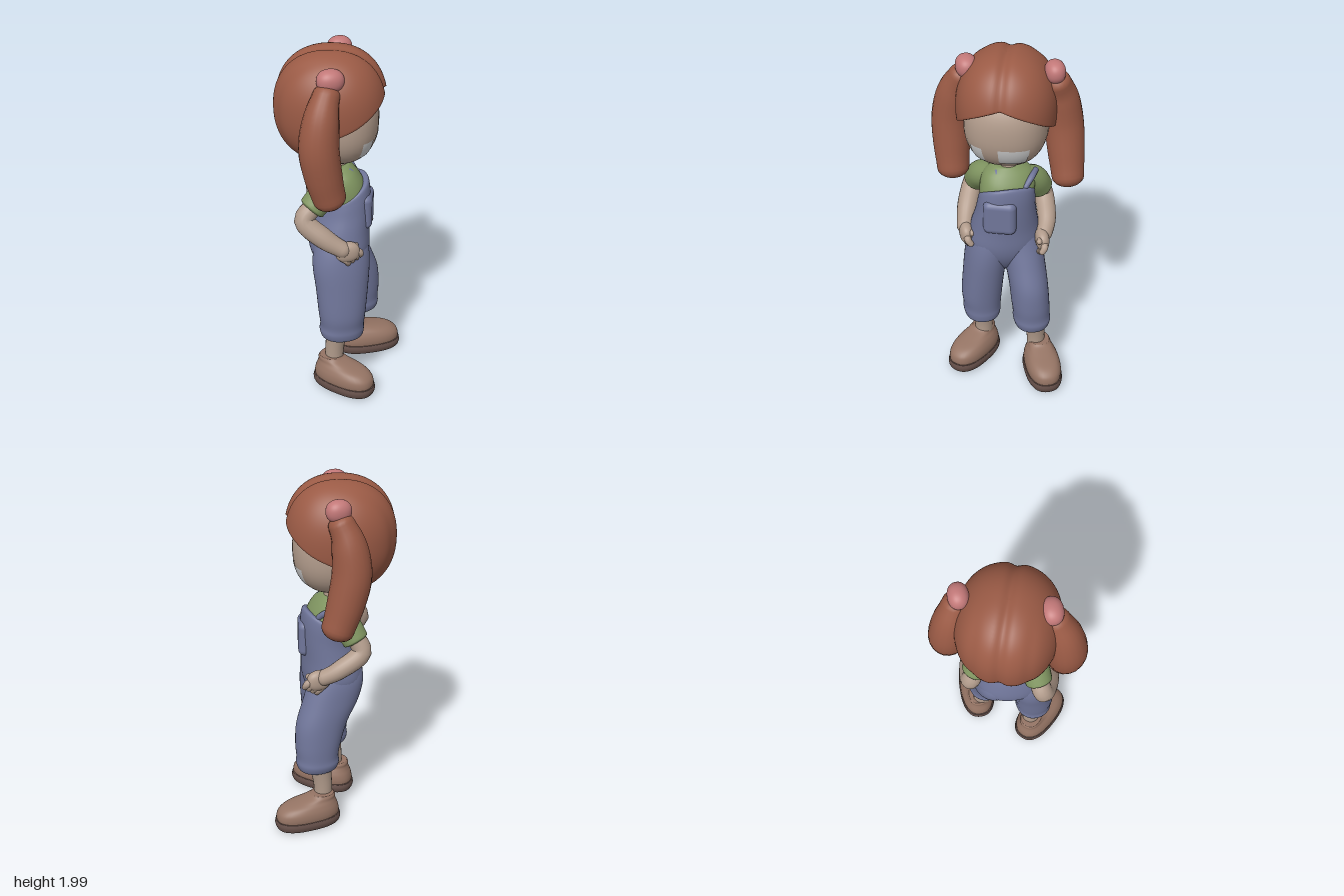
import * as THREE from 'three';
import { mergeVertices } from 'three/addons/utils/BufferGeometryUtils.js';
import { RoundedBoxGeometry } from 'three/addons/geometries/RoundedBoxGeometry.js';

const V = (x, y, z) => new THREE.Vector3(x, y, z);
const mat = (color) => new THREE.MeshStandardMaterial({ color, side: THREE.DoubleSide });
const FACING = 1.24; // yaw of head and chest, turning +z towards +x

// Smooth surface through a stack of closed rings of equal point count
function skin(rings) {
  const n = rings[0].length, pos = [], idx = [];
  rings.forEach((r) => r.forEach((p) => pos.push(p.x, p.y, p.z)));
  for (let i = 0; i < rings.length - 1; i++) {
    for (let j = 0; j < n; j++) {
      const a = i * n + j, b = i * n + (j + 1) % n;
      idx.push(a, a + n, b, b, a + n, b + n);
    }
  }
  const g = new THREE.BufferGeometry();
  g.setAttribute('position', new THREE.Float32BufferAttribute(pos, 3));
  g.setIndex(idx);
  g.computeVertexNormals();
  return g;
}

// Catmull-Rom interpolation of number rows
function smoothRows(rows, steps) {
  const out = [];
  for (let i = 0; i < rows.length - 1; i++) {
    const [p, a, b, q] = [i - 1, i, i + 1, i + 2].map((k) => rows[Math.min(Math.max(k, 0), rows.length - 1)]);
    for (let s = 0; s < steps; s++) {
      const t = s / steps;
      out.push(a.map((v, k) => {
        const c1 = b[k] - p[k];
        const c2 = 2 * p[k] - 5 * v + 4 * b[k] - q[k];
        const c3 = 3 * (v - b[k]) + q[k] - p[k];
        return v + 0.5 * t * (c1 + t * (c2 + t * c3));
      }));
    }
  }
  out.push(rows[rows.length - 1]);
  return out;
}

// Level sections [y, xc, zc, rx, rz, tilt], closed at both ends
function loft(rows, power = 2.2, n = 40) {
  const full = rows.map((r) => (r.length < 6 ? [...r, 0] : r));
  const sections = smoothRows(full, 5);
  const shrink = (r, k) => [r[0], r[1], r[2], r[3] * k, r[4] * k, r[5] * k];
  const first = sections[0], last = sections[sections.length - 1];
  const all = [shrink(first, 0.001), shrink(first, 0.9), ...sections, shrink(last, 0.9), shrink(last, 0.001)];
  return skin(all.map(([y, xc, zc, rx, rz, tilt]) => Array.from({ length: n }, (_, j) => {
    const a = j / n * Math.PI * 2, c = Math.cos(a), s = Math.sin(a);
    const f = (Math.abs(c) ** power + Math.abs(s) ** power) ** (-1 / power);
    return V(xc + rx * c * f, y + tilt * c, zc + rz * s * f);
  })));
}

// Round limb through [x, y, z, radius] with domed ends
function limb(rows, dome = 1, n = 20) {
  const rs = smoothRows(rows, 6), rings = [];
  const curve = new THREE.CatmullRomCurve3(rs.map((r) => V(r[0], r[1], r[2])));
  const m = rs.length - 1, fr = curve.computeFrenetFrames(m, false);
  const add = (i, shift, k) => {
    const r = rs[i][3], c = curve.getPointAt(i / m).addScaledVector(fr.tangents[i], shift * r * dome);
    rings.push(Array.from({ length: n }, (_, j) => {
      const a = j / n * Math.PI * 2;
      return c.clone().addScaledVector(fr.normals[i], Math.cos(a) * r * k)
        .addScaledVector(fr.binormals[i], -Math.sin(a) * r * k);
    }));
  };
  for (let k = 5; k > 0; k--) add(0, -Math.sin(k * Math.PI / 10), Math.cos(k * Math.PI / 10) + 0.001);
  for (let i = 0; i <= m; i++) add(i, 0, 1);
  for (let k = 1; k <= 5; k++) add(m, Math.sin(k * Math.PI / 10), Math.cos(k * Math.PI / 10) + 0.001);
  return skin(rings);
}

// Slightly squared ellipsoid, or a patch of one
function ball(rx, ry, rz, p, patch = []) {
  let g = new THREE.SphereGeometry(1, 40, 28, ...patch);
  g.deleteAttribute('uv');
  g.deleteAttribute('normal');
  g = mergeVertices(g);
  const a = g.attributes.position, v = V(0, 0, 0);
  for (let i = 0; i < a.count; i++) {
    v.fromBufferAttribute(a, i);
    const f = (Math.abs(v.x) ** p + Math.abs(v.y) ** p + Math.abs(v.z) ** p) ** (-1 / p);
    a.setXYZ(i, v.x * f * rx, v.y * f * ry, v.z * f * rz);
  }
  g.computeVertexNormals();
  return g;
}

// Hair cap: parted in the middle, hem rising over the face, rim curled inwards
function hairCap() {
  const n = 120, rows = 44, power = 2.25, rings = [];
  const hem = smoothRows([[0.1], [0.045], [-0.035], [-0.11], [-0.23], [-0.275], [-0.285]], 20);
  for (let i = 0; i <= rows; i++) {
    rings.push(Array.from({ length: n }, (_, j) => {
      const a = j / n * Math.PI * 2;
      const off = Math.abs(Math.atan2(Math.cos(a), Math.sin(a))) / Math.PI;
      const end = Math.acos(hem[Math.round(off * 120)][0] / 0.31);
      const t = Math.max(0, (i - 6) / (rows - 6)), curl = Math.max(0, 1 - i / 6);
      const polar = end * (1 - t) + 0.02 * Math.sin(curl * Math.PI);
      const d = V(Math.sin(polar) * Math.cos(a), Math.cos(polar), Math.sin(polar) * Math.sin(a));
      d.multiplyScalar((Math.abs(d.x) ** power + Math.abs(d.y) ** power + Math.abs(d.z) ** power) ** (-1 / power));
      const x = d.x * 0.265, back = Math.max(0, -d.z);
      const groove = 0.05 * Math.exp(-((x / 0.03) ** 2)) + 0.02 * back * Math.exp(-(((Math.abs(x) - 0.14) / 0.03) ** 2));
      const k = (1.01 - groove) * (1 - 0.3 * curl ** 1.5);
      return V(x * k, d.y * 0.31 * k, d.z * (d.z < 0 ? 0.305 : 0.285) * k);
    }));
  }
  return skin(rings);
}

export function createModel() {
  const model = new THREE.Group();
  const hair = mat(0x9a5a45), flesh = mat(0xb29c8c), denim = mat(0x70769a), green = mat(0x7f9460);
  const pink = mat(0xc27878), leather = mat(0x957464), rubber = mat(0x66504a), grey = mat(0xcccccc);
  const add = (name, geo, material, parent = model, x = 0, y = 0, z = 0) => {
    const m = new THREE.Mesh(geo, material);
    m.name = name;
    m.position.set(x, y, z);
    parent.add(m);
    return m;
  };

  // Head, turned towards the facing direction
  const head = new THREE.Group();
  head.name = 'head';
  head.position.set(-0.065, 1.69, 0.012);
  head.rotation.y = FACING;
  model.add(head);
  add('face', ball(0.225, 0.24, 0.225, 2.35), flesh, head, 0, -0.08, 0.02);
  [[1.5, 0.75], [0.75, 0.35]].forEach(([start, width]) => add('facePatch',
    ball(0.227, 0.242, 0.227, 2.35, [start, width, 1.85, 0.42]), grey, head, 0, -0.08, 0.02));
  add('hair', hairCap(), hair, head);
  add('neck', limb([[-0.03, 1.28, 0.01, 0.05], [-0.04, 1.45, 0.015, 0.05]]), flesh);

  // Pigtails and their ties
  add('rightPigtail', limb([[-0.145, 1.84, 0.235, 0.07], [-0.18, 1.74, 0.27, 0.095], [-0.2, 1.58, 0.29, 0.105],
    [-0.18, 1.42, 0.295, 0.1], [-0.148, 1.285, 0.295, 0.088]], 0.7), hair);
  add('leftPigtail', limb([[0.02, 1.84, -0.235, 0.07], [-0.01, 1.74, -0.265, 0.095], [-0.02, 1.58, -0.285, 0.105],
    [0.015, 1.42, -0.292, 0.1], [0.06, 1.285, -0.295, 0.088]], 0.7), hair);
  add('rightHairTie', ball(0.072, 0.06, 0.058, 2.2), pink, model, -0.122, 1.905, 0.215);
  add('leftHairTie', ball(0.068, 0.06, 0.054, 2.2), pink, model, 0.028, 1.905, -0.22);

  // Shirt with short sleeves
  add('shirt', loft([[1.0, 0, 0.03, 0.11, 0.14], [1.15, -0.005, 0.03, 0.118, 0.145], [1.24, -0.015, 0.02, 0.114, 0.15],
    [1.305, -0.03, 0.015, 0.09, 0.13], [1.345, -0.04, 0.015, 0.06, 0.075]]), green);
  add('rightSleeve', limb([[-0.05, 1.26, 0.09, 0.064], [-0.14, 1.225, 0.135, 0.078], [-0.21, 1.16, 0.155, 0.074]], 0.25), green);
  add('leftSleeve', limb([[-0.02, 1.26, -0.07, 0.064], [-0.055, 1.215, -0.13, 0.076], [-0.09, 1.14, -0.175, 0.072]], 0.25), green);

  // Bare arms with hands resting at the hips
  add('rightArm', limb([[-0.17, 1.19, 0.15, 0.05], [-0.258, 1.1, 0.172, 0.055], [-0.16, 1.0, 0.222, 0.057],
    [-0.07, 0.94, 0.25, 0.046]]), flesh);
  add('leftArm', limb([[-0.07, 1.18, -0.16, 0.05], [-0.115, 1.075, -0.202, 0.054], [0.01, 0.985, -0.195, 0.052],
    [0.085, 0.94, -0.165, 0.044]]), flesh);
  const hand = (name, x, y, z, inward) => {
    const g = new THREE.Group();
    g.name = name;
    g.position.set(x, y, z);
    model.add(g);
    add('palm', ball(0.067, 0.058, 0.037, 2.3), flesh, g);
    for (let i = 0; i < 4; i++) {
      const dx = -0.03 + i * 0.023, dy = -0.036 + i * 0.015;
      add('finger', limb([[dx, dy, 0, 0.019], [dx + 0.028, dy - 0.02, 0, 0.02],
        [dx + 0.036, dy - 0.042, inward * 0.014, 0.017]], 1, 12), flesh, g);
    }
    add('thumb', limb([[0, 0.025, 0, 0.02], [0.05, 0.02, inward * 0.025, 0.017]], 1, 12), flesh, g);
  };
  hand('rightHand', -0.04, 0.92, 0.25, -1);
  hand('leftHand', 0.11, 0.92, -0.148, 1);

  // Dungarees: body with a bib higher in front, two legs with rolled hems
  add('overallsBody', loft([[0.67, -0.02, 0.037, 0.03, 0.03], [0.72, -0.025, 0.037, 0.09, 0.09], [0.79, -0.035, 0.036, 0.142, 0.165],
    [0.87, -0.037, 0.035, 0.163, 0.202],
    [0.98, -0.025, 0.035, 0.152, 0.185], [1.08, -0.005, 0.033, 0.138, 0.165, 0.02], [1.15, 0.003, 0.03, 0.13, 0.157, 0.045],
    [1.19, 0.003, 0.028, 0.121, 0.15, 0.065], [1.2, 0.003, 0.028, 0.105, 0.135, 0.065]]), denim);
  add('rightTrouserLeg', loft([[0.335, -0.05, 0.165, 0.09, 0.08], [0.345, -0.05, 0.165, 0.115, 0.097], [0.38, -0.052, 0.165, 0.124, 0.106],
    [0.42, -0.05, 0.165, 0.122, 0.106], [0.5, -0.05, 0.165, 0.131, 0.113], [0.65, -0.048, 0.152, 0.145, 0.115],
    [0.78, -0.048, 0.135, 0.157, 0.118], [0.88, -0.042, 0.115, 0.15, 0.118], [0.98, -0.03, 0.1, 0.12, 0.1]]), denim);
  add('leftTrouserLeg', loft([[0.335, 0.1, -0.095, 0.085, 0.08], [0.345, 0.1, -0.095, 0.11, 0.094], [0.38, 0.1, -0.095, 0.121, 0.105],
    [0.42, 0.1, -0.093, 0.118, 0.103], [0.5, 0.093, -0.088, 0.129, 0.106], [0.62, 0.067, -0.08, 0.145, 0.108],
    [0.75, 0.008, -0.067, 0.158, 0.113], [0.87, -0.03, -0.05, 0.152, 0.117], [0.98, -0.03, -0.03, 0.12, 0.1]]), denim);
  const pocket = add('bibPocket', new RoundedBoxGeometry(0.18, 0.2, 0.08, 6, 0.035), denim, model, 0.1, 1.09, 0.085);
  pocket.rotation.y = FACING;
  // Short straps showing at the shoulders
  add('leftStrap', limb([[0.075, 1.25, -0.06, 0.016], [0.045, 1.29, -0.1, 0.017], [-0.02, 1.29, -0.135, 0.016]], 1, 12), denim);
  add('rightStrap', limb([[0.06, 1.26, 0.09, 0.014], [0.01, 1.32, 0.085, 0.014], [-0.05, 1.32, 0.09, 0.014]], 1, 12), denim);

  // Ankles and chunky shoes, toes along local +z
  const foot = (name, x, z, yaw, ax, az, kx) => {
    add(name + 'Ankle', limb([[ax, 0.12, az, 0.05], [ax, 0.24, az, 0.054], [kx, 0.42, az + 0.01, 0.068]]), flesh);
    const shoe = new THREE.Group();
    shoe.name = name + 'Shoe';
    shoe.position.set(x, 0, z);
    shoe.rotation.y = yaw;
    model.add(shoe);
    add('sole', loft([[0.008, 0, 0, 0.08, 0.165], [0.018, 0, 0, 0.097, 0.182], [0.045, 0, 0, 0.105, 0.19],
      [0.07, 0, 0, 0.1, 0.186]], 2.5), rubber, shoe);
    add('upper', loft([[0.06, 0, 0, 0.096, 0.181], [0.09, 0, 0, 0.1, 0.182], [0.12, 0, -0.003, 0.096, 0.173],
      [0.147, 0, -0.018, 0.084, 0.148], [0.168, 0, -0.055, 0.069, 0.105], [0.185, 0, -0.085, 0.063, 0.075],
      [0.198, 0, -0.09, 0.056, 0.062]], 2.4), leather, shoe);
  };
  foot('right', -0.05, 0.215, 0.75, -0.09, 0.15, -0.07);
  foot('left', 0.18, -0.145, Math.PI / 2, 0.08, -0.125, 0.1);
  return model;
}
